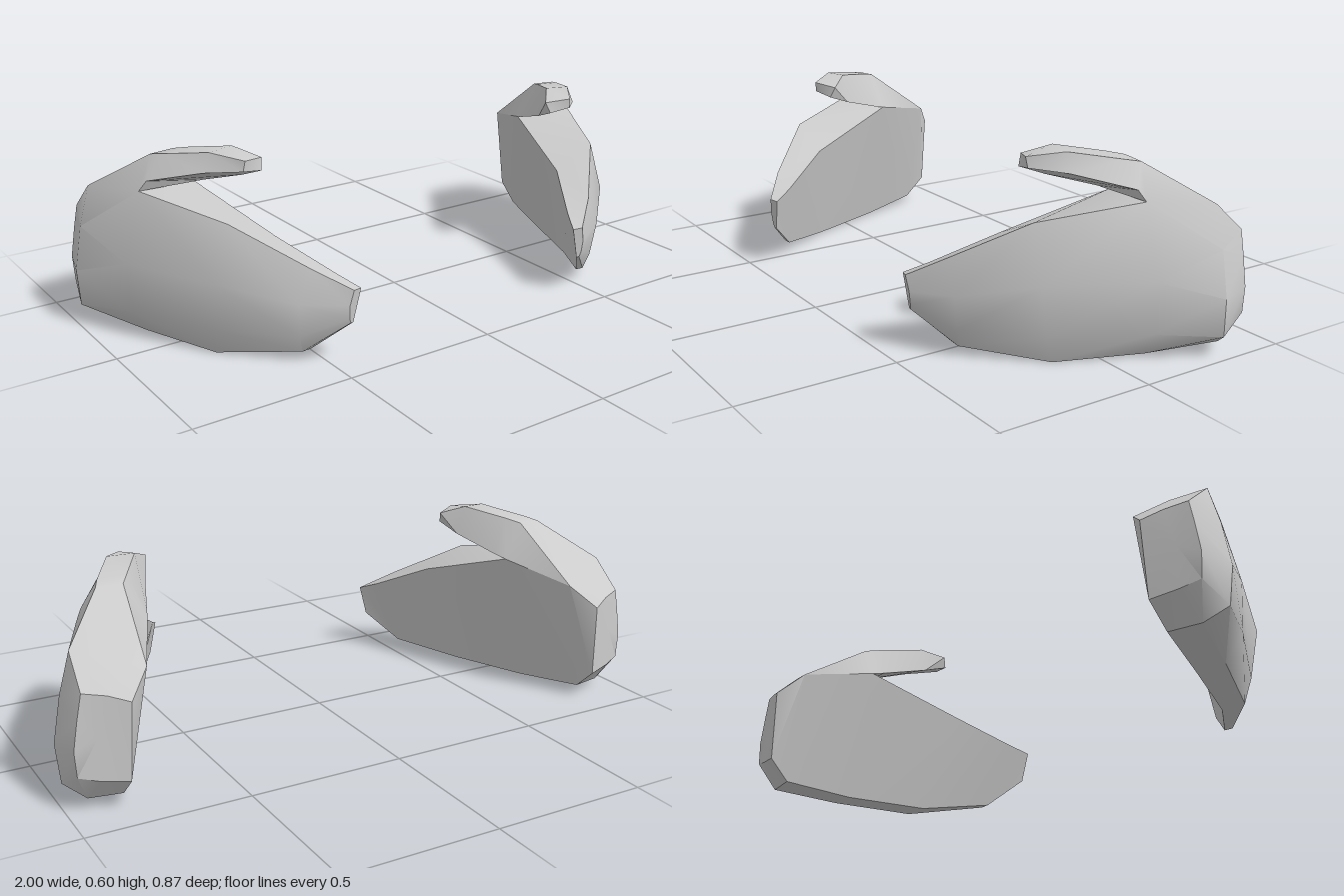
import * as THREE from 'three';
import { toCreasedNormals } from 'three/addons/utils/BufferGeometryUtils.js';

// Cross-sections [x, y, z], each listed clockwise as seen from the front:
// inner edge, roof middle, roof outer edge, notch level, outer middle, outer low, bottom, inner bottom
const rear = [
  [[0.82, 0.335, -0.432], [0.88, 0.355, -0.405], [0.945, 0.365, -0.38], [0.96, 0.29, -0.38],
    [0.975, 0.2, -0.38], [0.97, 0.12, -0.38], [0.91, 0.105, -0.4], [0.83, 0.095, -0.422]],
  [[0.75, 0.405, -0.37], [0.85, 0.43, -0.335], [0.94, 0.455, -0.28], [0.975, 0.33, -0.28],
    [1.0, 0.19, -0.28], [0.99, 0.07, -0.29], [0.93, 0.027, -0.33], [0.83, 0.028, -0.35]],
  [[0.655, 0.455, -0.14], [0.72, 0.572, -0.13], [0.8, 0.57, -0.12], [0.855, 0.47, -0.095],
    [0.91, 0.25, -0.1], [0.9, 0.09, -0.1], [0.85, 0.01, -0.12], [0.76, 0.008, -0.13]],
];

// Upper prong: inner edge, roof middle, roof outer edge, lower outer edge
const prongFront = [
  [[0.64, 0.465, -0.1], [0.69, 0.583, -0.08], [0.78, 0.578, -0.075], [0.835, 0.502, -0.08]],
  [[0.585, 0.51, 0.05], [0.615, 0.605, 0.05], [0.7, 0.602, 0.065], [0.725, 0.545, 0.07]],
  [[0.565, 0.54, 0.13], [0.555, 0.575, 0.115], [0.63, 0.586, 0.155], [0.635, 0.553, 0.15]],
];

// Front plate: inner top, outer top, outer middle, outer low, bottom, inner bottom
const plateFront = [
  [[0.555, 0.35, 0.185], [0.71, 0.42, 0.185], [0.765, 0.25, 0.19],
    [0.75, 0.09, 0.16], [0.74, 0.003, 0.13], [0.66, 0.006, 0.13]],
  [[0.45, 0.262, 0.36], [0.54, 0.3, 0.36], [0.585, 0.2, 0.36],
    [0.575, 0.09, 0.345], [0.56, 0.035, 0.33], [0.53, 0.037, 0.33]],
  [[0.415, 0.235, 0.425], [0.445, 0.238, 0.435], [0.457, 0.19, 0.43],
    [0.455, 0.148, 0.425], [0.45, 0.132, 0.422], [0.44, 0.132, 0.42]],
];

// Skins neighbouring sections, back to front
function skin(out, rings) {
  for (let k = 0; k < rings.length - 1; k++) {
    const p = rings[k], q = rings[k + 1], n = p.length;
    for (let i = 0; i < n; i++) {
      const j = (i + 1) % n;
      out.push([p[i], q[i], q[j]], [p[i], q[j], p[j]]);
    }
  }
}

// Closes a section with a fan around its centre
function cap(out, ring, facingFront) {
  const centre = [0, 1, 2].map((a) => ring.reduce((s, p) => s + p[a], 0) / ring.length);
  ring.forEach((p, i) => {
    const q = ring[(i + 1) % ring.length];
    out.push(facingFront ? [centre, q, p] : [centre, p, q]);
  });
}

function shellGeometry(side) {
  const tris = [];
  const split = rear[rear.length - 1];
  skin(tris, rear);
  cap(tris, rear[0], false);
  // The last rear section divides into the prong and the plate at the notch
  skin(tris, [split.slice(0, 4), ...prongFront]);
  cap(tris, prongFront[prongFront.length - 1], true);
  skin(tris, [[split[0], ...split.slice(3)], ...plateFront]);
  cap(tris, plateFront[plateFront.length - 1], true);

  const positions = [];
  for (const [a, b, c] of tris) {
    for (const p of side > 0 ? [a, b, c] : [a, c, b]) positions.push(p[0] * side, p[1], p[2]);
  }
  const geometry = new THREE.BufferGeometry();
  geometry.setAttribute('position', new THREE.Float32BufferAttribute(positions, 3));
  return toCreasedNormals(geometry, THREE.MathUtils.degToRad(36));
}

export function createModel() {
  const group = new THREE.Group();
  group.name = 'shellPair';
  const material = new THREE.MeshStandardMaterial({ color: 0xcccccc });
  for (const [name, side] of [['leftShell', 1], ['rightShell', -1]]) {
    const mesh = new THREE.Mesh(shellGeometry(side), material);
    mesh.name = name;
    group.add(mesh);
  }
  return group;
}
